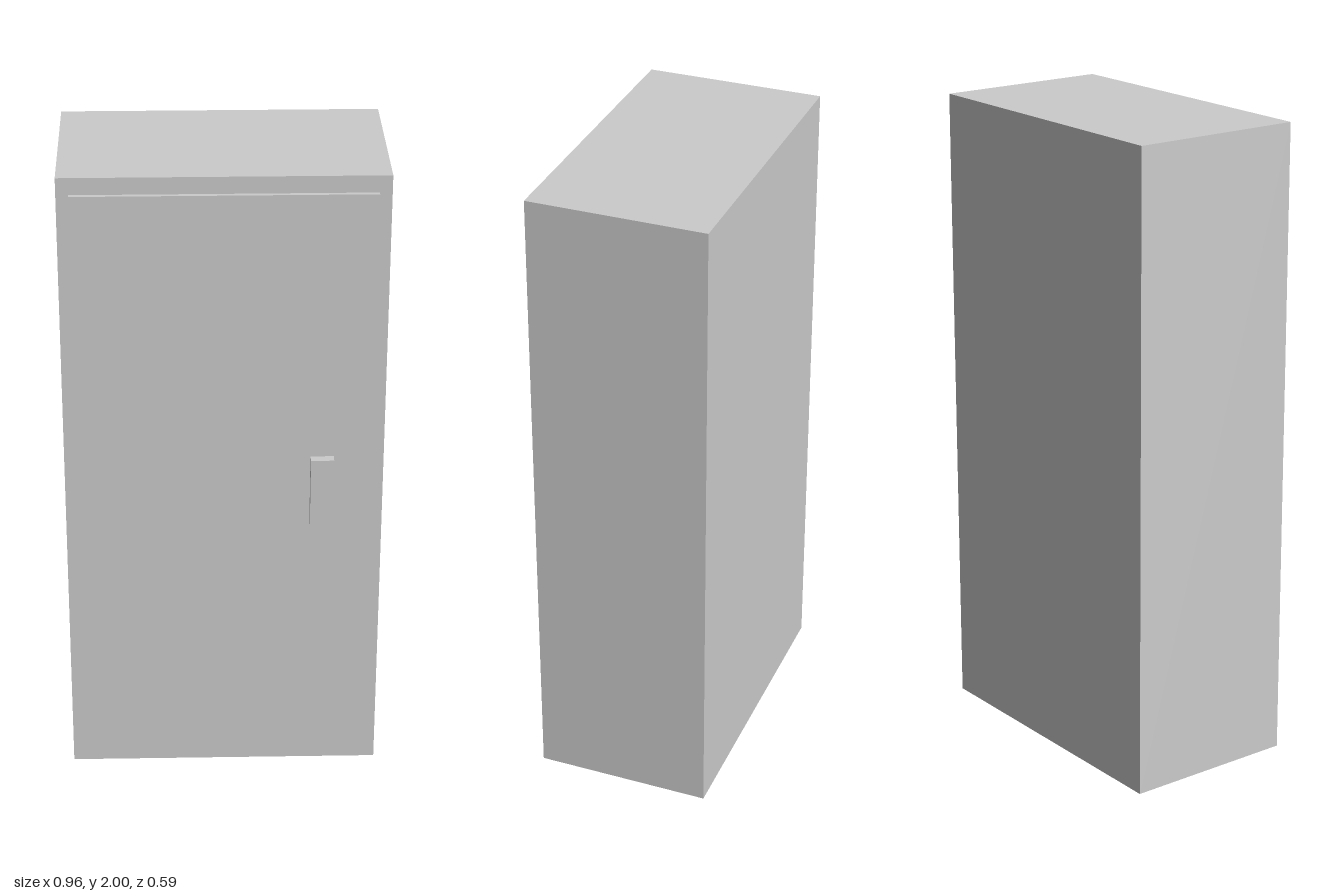
import * as THREE from 'three';

const material = new THREE.MeshStandardMaterial({ color: 0xcccccc, flatShading: true });

// Box given by its lower and upper corners
function box(name, [x0, y0, z0], [x1, y1, z1]) {
  const mesh = new THREE.Mesh(new THREE.BoxGeometry(x1 - x0, y1 - y0, z1 - z0), material);
  mesh.name = name;
  mesh.position.set((x0 + x1) / 2, (y0 + y1) / 2, (z0 + z1) / 2);
  return mesh;
}

export function createModel() {
  const cabinet = new THREE.Group();
  cabinet.name = 'cabinet';
  cabinet.add(
    // Closed body
    box('body', [-0.482, 0, -0.296], [0.482, 2, 0.253]),
    // Thin door panel standing proud of the front
    box('door', [-0.445, 0.055, 0.253], [0.445, 1.948, 0.267]),
    // Upright handle block on the door
    box('handle', [0.26, 0.883, 0.267], [0.33, 1.103, 0.296]),
  );
  return cabinet;
}
